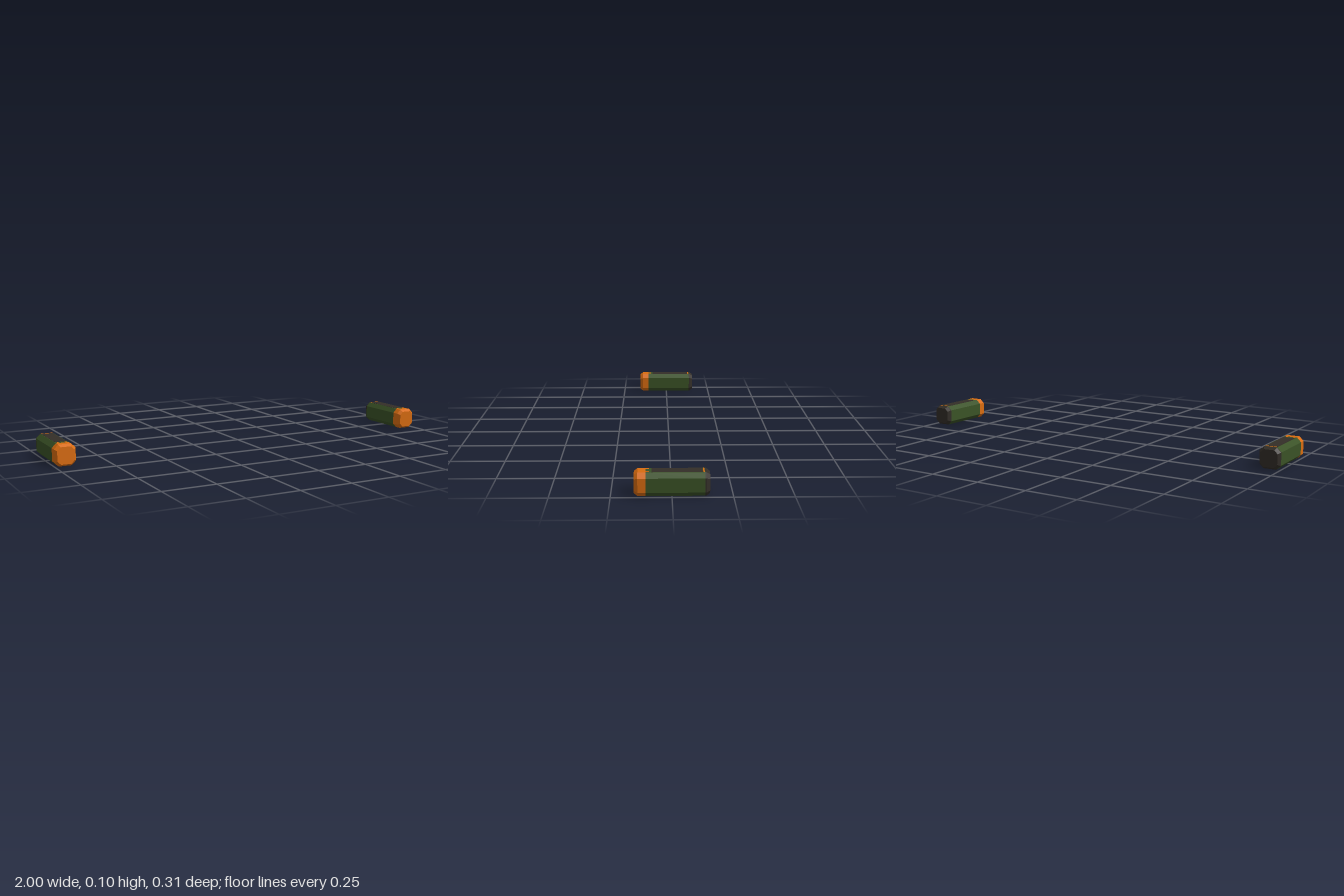
import * as THREE from 'three';

const mat = (name, color) => {
  const m = new THREE.MeshStandardMaterial({ color });
  m.name = name;
  return m;
};

// Octagonal outline of a bar, counter-clockwise seen from +z
function ring(z, half) {
  const c = half - 0.02 * (half / 0.05);
  return [[half, -c], [half, c], [c, half], [-c, half], [-half, c], [-half, -c], [-c, -half], [c, -half]]
    .map(([x, y]) => [x, y + 0.05, z]);
}

// Skin between outlines listed from back to front, with optional end caps
function loft(sections, capBack, capFront) {
  const rings = sections.map(([z, half]) => ring(z, half));
  const pos = [];
  const tri = (a, b, c) => pos.push(...a, ...b, ...c);
  for (let i = 0; i < rings.length - 1; i++) {
    for (let j = 0; j < 8; j++) {
      const k = (j + 1) % 8, a = rings[i], b = rings[i + 1];
      tri(a[j], a[k], b[k]);
      tri(a[j], b[k], b[j]);
    }
  }
  const first = rings[0], last = rings[rings.length - 1];
  for (let j = 1; j < 7; j++) {
    if (capBack) tri(first[0], first[j + 1], first[j]);
    if (capFront) tri(last[0], last[j], last[j + 1]);
  }
  const g = new THREE.BufferGeometry();
  g.setAttribute('position', new THREE.Float32BufferAttribute(pos, 3));
  g.computeVertexNormals();
  return g;
}

export function createModel() {
  const green = mat('olive green', 0x3a5226);
  const orange = mat('orange', 0xd96c10);
  const dark = mat('dark brown', 0x332e28);
  const model = new THREE.Group();
  model.name = 'barPair';

  const add = (parent, name, geometry, material) => {
    const m = new THREE.Mesh(geometry, material);
    m.name = name;
    parent.add(m);
    return m;
  };
  // Thin painted plate on the flat top
  const plate = (parent, name, material, width, z0, z1, x = 0) => {
    const m = add(parent, name, new THREE.BoxGeometry(width, 0.002, z1 - z0), material);
    m.position.set(x, 0.1, (z0 + z1) / 2);
  };

  for (const side of [1, -1]) {
    const bar = new THREE.Group();
    bar.name = side > 0 ? 'leftBar' : 'rightBar';
    bar.position.x = side * 0.95;

    // Main body and its chamfered ends
    add(bar, 'body', loft([[-0.135, 0.05], [0.107, 0.05]]), green);
    add(bar, 'frontCap', loft([[0.107, 0.05], [0.14, 0.05], [0.155, 0.04]], false, true), orange);
    add(bar, 'backCap', loft([[-0.155, 0.04], [-0.14, 0.05], [-0.135, 0.05]], true, false), dark);

    // Top strip, rear line and front teeth
    plate(bar, 'topStrip', dark, 0.054, -0.125, 0.083);
    plate(bar, 'rearLine', orange, 0.054, -0.133, -0.127);
    for (const x of [-0.018, 0.018]) plate(bar, 'frontTooth', orange, 0.01, 0.092, 0.107, x);
    model.add(bar);
  }
  return model;
}
